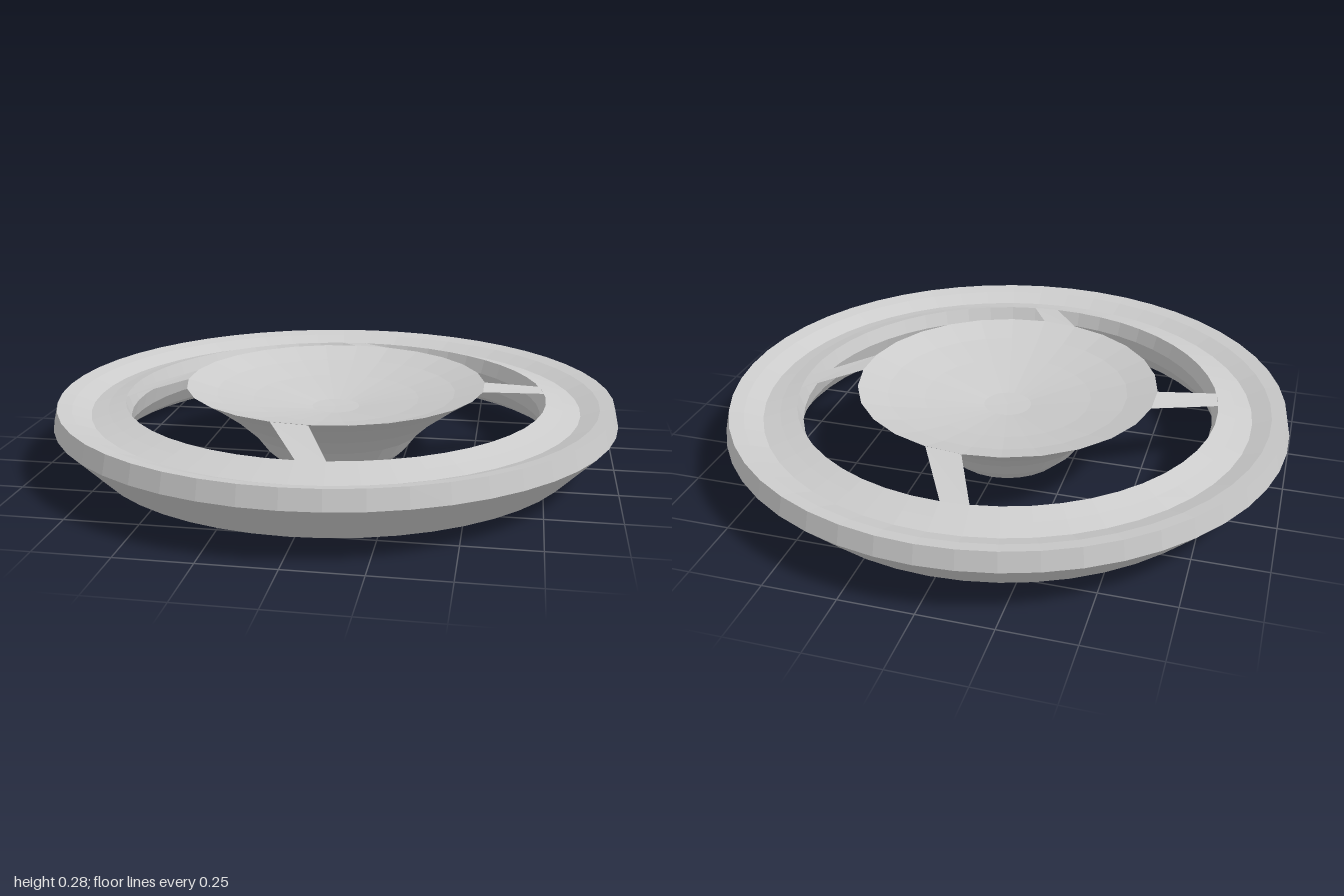
import * as THREE from 'three';

const RING_SIDES = 50;
const HUB_SIDES = 26;

const material = new THREE.MeshStandardMaterial({
  color: 0xcccccc, flatShading: true, side: THREE.DoubleSide,
});

// Revolve a [radius, height] profile, with one corner at the back
function revolve(name, profile, sides) {
  const points = profile.map(([r, y]) => new THREE.Vector2(r, y));
  const mesh = new THREE.Mesh(new THREE.LatheGeometry(points, sides, Math.PI), material);
  mesh.name = name;
  return mesh;
}

// Point at an angle measured clockwise from the back, seen from above
function polar(angle, r, y) {
  return [r * Math.sin(angle), y, -r * Math.cos(angle)];
}

// Thin slanting strip spanning one hub side and one ring side
function spoke(outerStart, innerStart) {
  const a = polar(outerStart, 0.75, 0.243);
  const b = polar(outerStart + 2 * Math.PI / RING_SIDES, 0.75, 0.243);
  const c = polar(innerStart + 2 * Math.PI / HUB_SIDES, 0.534, 0.284);
  const d = polar(innerStart, 0.534, 0.284);
  const geometry = new THREE.BufferGeometry();
  geometry.setAttribute('position', new THREE.Float32BufferAttribute([...a, ...b, ...c, ...d], 3));
  geometry.setIndex([0, 2, 1, 0, 3, 2]);
  geometry.computeVertexNormals();
  const mesh = new THREE.Mesh(geometry, material);
  mesh.name = 'spoke';
  return mesh;
}

export function createModel() {
  const group = new THREE.Group();
  group.name = 'spokedRing';

  // Outer ring: bevelled underside, shallow groove on top, rounded inner wall
  group.add(revolve('outerRing', [
    [0.83, 0.045], [0.868, 0.045], [1.0, 0.18], [0.985, 0.245],
    [0.935, 0.235], [0.87, 0.21], [0.81, 0.225], [0.75, 0.243],
    [0.732, 0.19], [0.75, 0.125], [0.79, 0.07], [0.83, 0.045],
  ], RING_SIDES));

  // Hub: flaring bowl underneath, dished top
  group.add(revolve('hub', [
    [0, 0], [0.205, 0], [0.26, 0.05], [0.305, 0.11], [0.37, 0.17],
    [0.465, 0.24], [0.535, 0.285], [0.43, 0.252], [0.3, 0.224],
    [0.085, 0.19], [0, 0.188],
  ], HUB_SIDES));

  // Four spokes in two opposite pairs
  const ringStep = 2 * Math.PI / RING_SIDES;
  const hubStep = 2 * Math.PI / HUB_SIDES;
  for (const half of [0, Math.PI]) {
    group.add(spoke(half - ringStep, half));
    group.add(spoke(half + Math.PI / 2 - 2 * ringStep, half + Math.PI / 2 - hubStep / 2));
  }
  return group;
}
